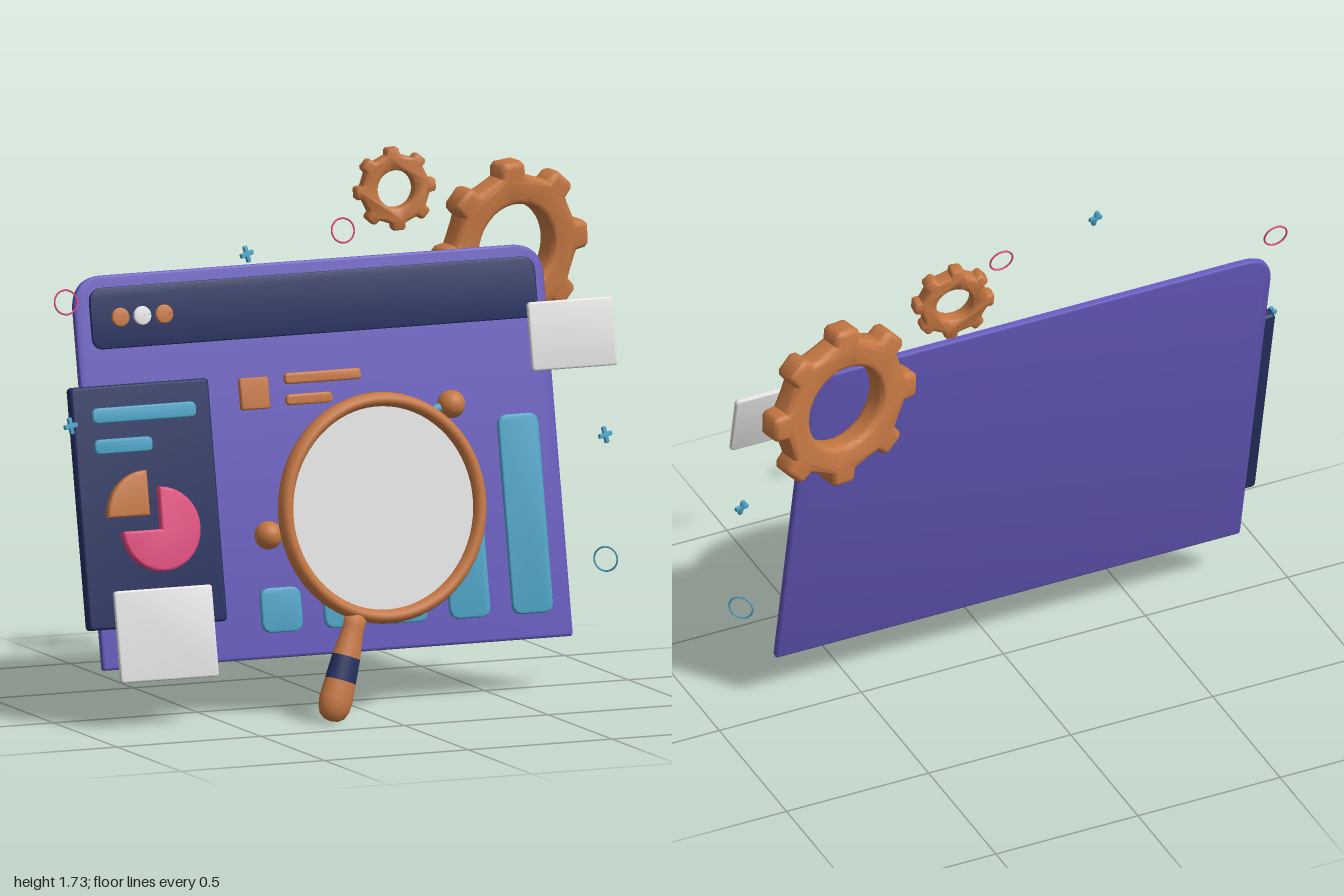
import * as THREE from 'three';
import { toCreasedNormals } from 'three/addons/utils/BufferGeometryUtils.js';

const TILT = -0.2; // backward lean shared by the window and its cards
const V = (x, y, z) => new THREE.Vector3(x, y, z);

function mat(name, color) {
  const m = new THREE.MeshStandardMaterial({ color });
  m.name = name;
  return m;
}

// Extruded shape centred in depth, with its bevel kept inside the outline
function extrude(shape, depth, bevel) {
  const g = new THREE.ExtrudeGeometry(shape, {
    depth: depth - 2 * bevel, curveSegments: 24, bevelEnabled: true,
    bevelThickness: bevel, bevelSize: bevel, bevelOffset: -bevel, bevelSegments: 3,
  });
  g.translate(0, 0, bevel - depth / 2);
  return toCreasedNormals(g, 0.7);
}

// Rectangle with separate radii for its top and bottom corners
function roundedRect(w, h, rt, rb) {
  const x = w / 2, y = h / 2, s = new THREE.Shape();
  s.moveTo(-x + rb, -y);
  s.lineTo(x - rb, -y);
  s.quadraticCurveTo(x, -y, x, -y + rb);
  s.lineTo(x, y - rt);
  s.quadraticCurveTo(x, y, x - rt, y);
  s.lineTo(-x + rt, y);
  s.quadraticCurveTo(-x, y, -x, y - rt);
  s.lineTo(-x, -y + rb);
  s.quadraticCurveTo(-x, -y, -x + rb, -y);
  return s;
}

function pieShape(r, a0, a1) {
  const s = new THREE.Shape();
  s.moveTo(0, 0);
  s.absarc(0, 0, r, a0, a1, false);
  s.lineTo(0, 0);
  return s;
}

// Eight rounded teeth around a ring with a round hole
function gearGeometry(r, hole, depth) {
  const pts = [], n = 8, body = r * 0.83;
  for (let i = 0; i < n; i++) {
    const a = (i / n) * Math.PI * 2 + 0.07;
    for (const [da, k] of [[-0.3, body], [-0.2, body * 1.02], [-0.165, r * 0.96], [-0.11, r],
      [0.11, r], [0.165, r * 0.96], [0.2, body * 1.02], [0.3, body]]) {
      pts.push(new THREE.Vector2(Math.cos(a + da) * k, Math.sin(a + da) * k));
    }
  }
  const s = new THREE.Shape(pts);
  s.holes.push(new THREE.Path().absarc(0, 0, hole, 0, Math.PI * 2, true));
  const g = new THREE.ExtrudeGeometry(s, {
    depth: depth * 0.5, curveSegments: 32, bevelEnabled: true, bevelThickness: depth * 0.25,
    bevelSize: r * 0.07, bevelOffset: -r * 0.07, bevelSegments: 4,
  });
  g.translate(0, 0, -depth * 0.25);
  return toCreasedNormals(g, 0.8);
}

export function createModel() {
  const root = new THREE.Group();
  root.name = 'analyticsWindow';
  const purple = mat('purple', 0x6559bd), navy = mat('navy', 0x253060);
  const orange = mat('orange', 0xc67843), pink = mat('pink', 0xe04a7c);
  const cyan = mat('cyan', 0x4ba2c4), white = mat('white', 0xe4e4e4);

  function add(name, geo, material, pos, rot = [TILT, 0, 0], parent = root) {
    const m = new THREE.Mesh(geo, material);
    m.name = name;
    m.position.set(...pos);
    m.rotation.set(...rot);
    parent.add(m);
    return m;
  }
  // Tilted plate given by its upright extents
  function plate(name, material, x0, x1, y0, y1, z, depth, rt = 0.01, rb = rt) {
    const s = roundedRect(x1 - x0, (y1 - y0) / Math.cos(TILT), rt, rb);
    return add(name, extrude(s, depth, Math.min(depth * 0.3, 0.008)), material,
      [(x0 + x1) / 2, (y0 + y1) / 2, z]);
  }

  // Window and title bar
  plate('windowPanel', purple, -0.865, 0.77, 0.185, 1.415, -0.047, 0.025, 0.11, 0.01);
  plate('titleBar', navy, -0.82, 0.73, 1.19, 1.382, -0.115, 0.012, 0.05, 0.04);
  [orange, white, orange].forEach((m, i) => {
    add('titleDot', extrude(pieShape(0.03, 0, Math.PI * 2), 0.012, 0.003), m,
      [-0.72 + i * 0.076, 1.288, -0.106]);
  });

  // Side card with text lines and pie chart
  plate('sideCard', navy, -0.935, -0.455, 0.325, 1.085, 0.045, 0.04, 0.015);
  plate('cardLine', cyan, -0.87, -0.51, 0.972, 1.02, 0.01, 0.014, 0.02);
  plate('cardLine', cyan, -0.87, -0.67, 0.876, 0.922, 0.03, 0.014, 0.02);
  add('pieChart', extrude(pieShape(0.135, Math.PI, Math.PI * 2.5), 0.032, 0.008), pink,
    [-0.688, 0.64, 0.137]);
  add('pieSlice', extrude(pieShape(0.145, Math.PI / 2, Math.PI), 0.032, 0.008), orange,
    [-0.724, 0.685, 0.127]);

  // Blank note cards
  plate('noteCard', white, -0.865, -0.525, 0.167, 0.455, 0.195, 0.018, 0.012);
  plate('noteCard', white, 0.64, 0.935, 1.045, 1.26, 0.037, 0.018, 0.012);

  // Bar chart
  [0.415, 0.435, 0.57, 0.76, 0.9].forEach((top, i) => {
    const x = -0.325 + i * 0.2175;
    plate('chartBar', cyan, x, x + 0.14, 0.275, top, 0.12 - 0.2 * ((top - 0.275) / 2), 0.018, 0.035);
  });

  // Legend swatch and captions
  plate('swatch', orange, -0.33, -0.23, 0.97, 1.07, -0.05, 0.02, 0.008);
  plate('caption', orange, -0.17, 0.095, 1.04, 1.075, -0.062, 0.018, 0.015);
  plate('caption', orange, -0.17, -0.01, 0.974, 1.008, -0.049, 0.018, 0.015);

  // Trend line with round markers
  const trendPoint = ([x, y]) => V(x, y, 0.063 - 0.21 * (y - 0.58));
  const trend = [[-0.28, 0.58], [-0.2, 0.62], [-0.12, 0.72], [-0.05, 0.82], [0.01, 0.77],
    [0.08, 0.7], [0.18, 0.75], [0.27, 0.87], [0.32, 0.925], [0.39, 0.945]].map(trendPoint);
  add('trendLine', new THREE.TubeGeometry(new THREE.CatmullRomCurve3(trend), 80, 0.016, 10),
    cyan, [0, 0, 0], [0, 0, 0]);
  for (const p of [[-0.28, 0.58], [-0.05, 0.82], [0.39, 0.945]]) {
    add('trendMarker', new THREE.SphereGeometry(0.045, 24, 16), orange, trendPoint(p).toArray());
  }

  // Magnifying glass, its handle along local -y
  const glass = new THREE.Group();
  glass.name = 'magnifyingGlass';
  const up = V(0.215, 0.62, -0.103).normalize();
  const side = V().crossVectors(up, V(0.065, 0.144, 1)).normalize();
  glass.quaternion.setFromRotationMatrix(
    new THREE.Matrix4().makeBasis(side, up, V().crossVectors(side, up)));
  glass.position.set(0.035, 0.675, 0.245);
  root.add(glass);
  add('lensRing', new THREE.TorusGeometry(0.346, 0.023, 14, 72), orange, [0, 0, 0], [0, 0, 0], glass)
    .scale.z = 1.35;
  add('lens', new THREE.CylinderGeometry(0.34, 0.34, 0.008, 64), white, [0, 0, 0],
    [Math.PI / 2, 0, 0], glass);
  const handle = (name, material, profile) => {
    const pts = profile.map(([r, y]) => new THREE.Vector2(r, y));
    add(name, new THREE.LatheGeometry(pts, 28), material, [0, 0, 0], [0, 0, 0], glass).scale.z = 0.72;
  };
  handle('handleNeck', orange, [[0.048, -0.49], [0.04, -0.43], [0.036, -0.39], [0.04, -0.35], [0, -0.345]]);
  handle('handleBand', navy, [[0.053, -0.57], [0.048, -0.49]]);
  handle('handleGrip', orange, [[0, -0.703], [0.025, -0.698], [0.043, -0.685], [0.054, -0.66],
    [0.057, -0.63], [0.053, -0.57]]);

  // Gears behind the window
  for (const [r, hole, depth, pos, n] of [
    [0.283, 0.142, 0.09, [0.72, 1.387, -0.3], V(0.2, -0.06, 1)],
    [0.134, 0.06, 0.055, [0.29, 1.613, -0.235], V(-0.13, 0.05, 1)],
  ]) {
    add('gear', gearGeometry(r, hole, depth), orange, pos)
      .quaternion.setFromUnitVectors(V(0, 0, 1), n.normalize());
  }

  // Floating thin rings
  for (const [m, pos, rot] of [
    [pink, [-0.948, 1.365, -0.02], [TILT, 0, 0]],
    [pink, [0.005, 1.535, 0.005], [TILT, 0, 0]],
    [cyan, [0.895, 0.422, 0.06], [0, -0.75, 0]],
  ]) add('floatingRing', new THREE.TorusGeometry(0.039, 0.003, 8, 36), m, pos, rot);

  // Floating crosses
  for (const [x, y, z, turn] of [[-0.385, 1.505, 0.13, 0.25], [-0.98, 0.985, 0.09, 0.15], [0.9, 0.82, 0.045, 0.2]]) {
    const cross = new THREE.Group();
    cross.name = 'floatingCross';
    cross.position.set(x, y, z);
    cross.rotation.set(TILT, 0.3, turn);
    for (const a of [0, Math.PI / 2]) {
      add('crossArm', extrude(roundedRect(0.054, 0.015, 0.005, 0.005), 0.012, 0.003), cyan,
        [0, 0, 0], [0, 0, a], cross);
    }
    root.add(cross);
  }
  return root;
}
